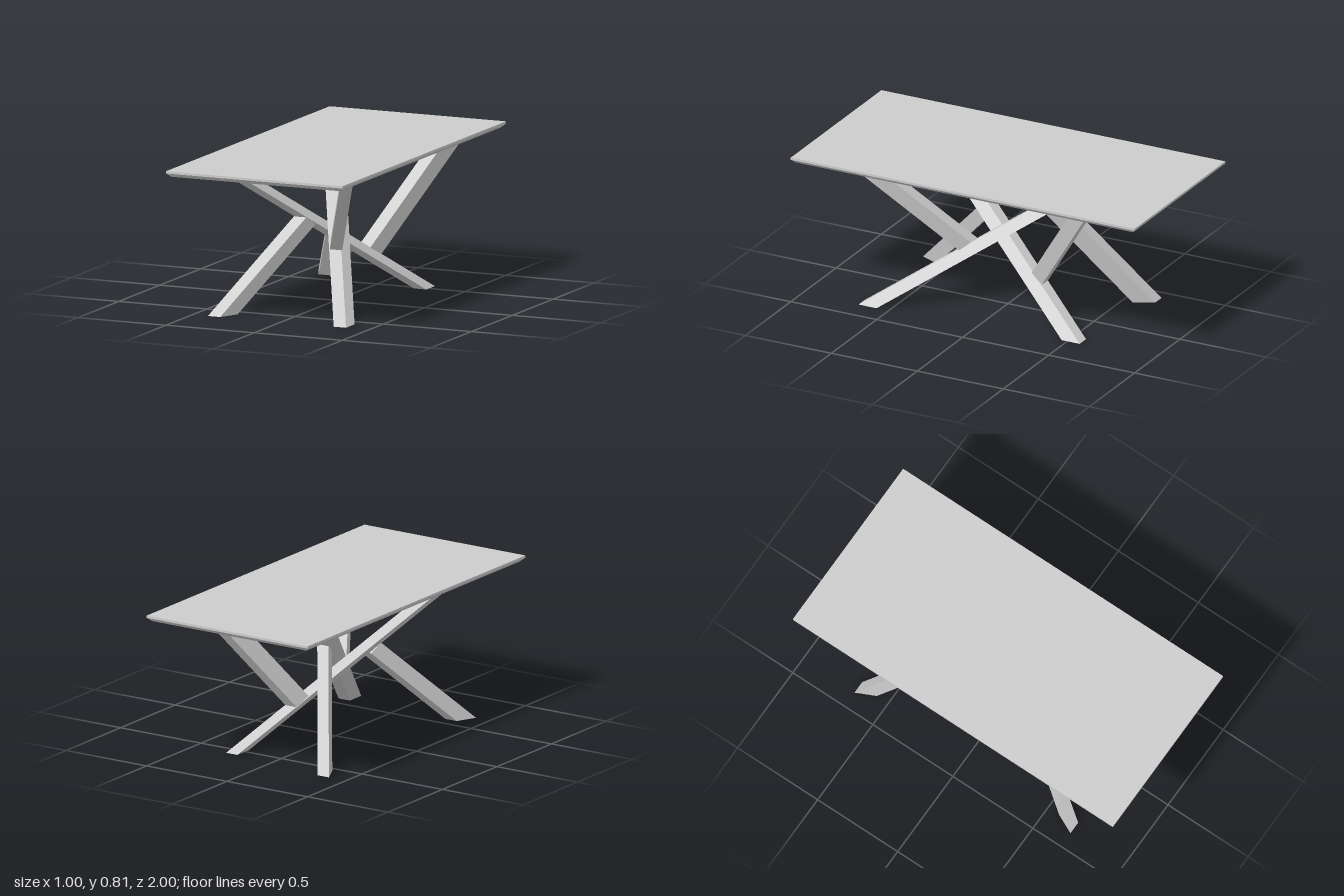
import * as THREE from 'three';
import { ConvexGeometry } from 'three/addons/geometries/ConvexGeometry.js';

const H = 0.775; // height of the underside of the top
const material = new THREE.MeshStandardMaterial({ color: 0xcccccc, flatShading: true });

// Flat-sided solid through corner points [x, y, z]
function solid(name, corners) {
  const mesh = new THREE.Mesh(new ConvexGeometry(corners.map((c) => new THREE.Vector3(...c))), material);
  mesh.name = name;
  return mesh;
}

// Level rectangle of corners
const rect = (cx, y, cz, w, d) =>
  [[-1, -1], [1, -1], [1, 1], [-1, 1]].map(([a, b]) => [cx + a * w / 2, y, cz + b * d / 2]);

// Short strut: skewed foot on the floor, leaning inward to meet a long beam.
// side is +1 for the front strut, -1 for the back one.
function strut(name, side, footY, outerY, innerY, leanX, leanZ) {
  const foot = [[-0.413, 0.675, outerY], [-0.343, 0.675, outerY], [-0.293, 0.57, innerY], [-0.363, 0.57, innerY]];
  const corners = [];
  for (const [x, z, topY] of foot) {
    const rise = topY - footY;
    corners.push([x, footY, side * z], [x + leanX * rise, topY, side * (z - leanZ * rise)]);
  }
  return solid(name, corners);
}

// Half of the base: one long diagonal beam and the two struts standing on the floor
function baseHalf(name, footY) {
  const half = new THREE.Group();
  half.name = name;
  half.add(
    solid('longBeam', [...rect(0.335, 0, 0.622, 0.07, 0.105), ...rect(-0.26, H, -0.52, 0.07, 0.105)]),
    strut('frontStrut', 1, 0, 0.47, 0.422, 0.593, 0.98),
    strut('backStrut', -1, footY, 0.57, 0.523, 0.492, 0.72)
  );
  return half;
}

export function createModel() {
  const model = new THREE.Group();
  model.name = 'table';

  // Top with bevelled lower edge
  model.add(solid('tableTop', [
    ...rect(0, H, 0, 0.958, 1.958),
    ...rect(0, 0.794, 0, 1, 2),
    ...rect(0, 0.806, 0, 1, 2),
  ]));

  // The second half of the base is the first turned upside down about the long axis
  const upper = baseHalf('upperBase', 0);
  upper.rotation.z = Math.PI;
  upper.position.y = H;
  model.add(baseHalf('lowerBase', 0.01), upper);
  return model;
}
